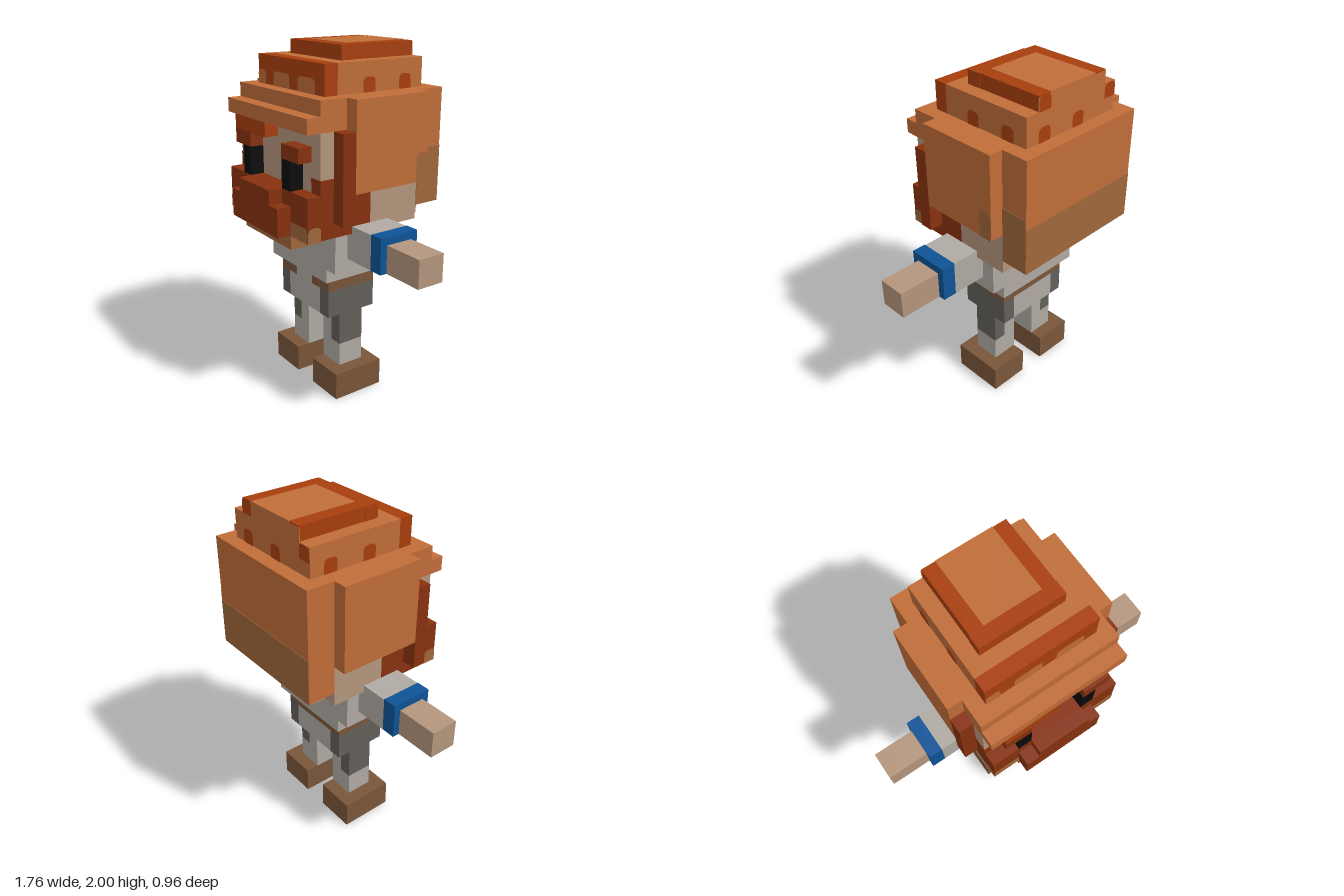
import * as THREE from 'three';

const material = (name, color) => {
  const m = new THREE.MeshStandardMaterial({ color });
  m.name = name;
  return m;
};

export function createModel() {
  const hair = material('hair', 0xc06d38);
  const rust = material('rust hair', 0xa83e0d);
  const beard = material('beard', 0x87310f);
  const tan = material('hair shade', 0xa0673b);
  const skin = material('skin', 0xb4967d);
  const cloth = material('cloth', 0xb0aaa3);
  const grey = material('trouser shade', 0x635f5a);
  const blue = material('blue cuff', 0x0e5396);
  const brown = material('brown leather', 0x7a563a);
  const black = material('eye black', 0x0b0b0b);

  const model = new THREE.Group();
  model.name = 'blockyBeardedFigure';

  // Block given by its lower and upper corners
  const box = (name, mat, x0, x1, y0, y1, z0, z1) => {
    const mesh = new THREE.Mesh(new THREE.BoxGeometry(x1 - x0, y1 - y0, z1 - z0), mat);
    mesh.position.set((x0 + x1) / 2, (y0 + y1) / 2, (z0 + z1) / 2);
    mesh.name = name;
    model.add(mesh);
  };
  // Two mirrored blocks
  const pair = (name, mat, x0, x1, ...rest) => {
    box(name + 'Left', mat, x0, x1, ...rest);
    box(name + 'Right', mat, -x1, -x0, ...rest);
  };
  // Flat painted patch with two rounded upper corners, facing +z until turned
  const patch = (name, mat, w, h, r, pos, rx = 0, ry = 0) => {
    const s = new THREE.Shape();
    s.moveTo(-w / 2, 0);
    s.lineTo(w / 2, 0);
    s.lineTo(w / 2, h - r);
    s.quadraticCurveTo(w / 2, h, w / 2 - r, h);
    s.lineTo(r - w / 2, h);
    s.quadraticCurveTo(-w / 2, h, -w / 2, h - r);
    s.closePath();
    const mesh = new THREE.Mesh(new THREE.ShapeGeometry(s, 5), mat);
    mesh.position.set(...pos);
    mesh.rotation.set(rx, ry, 0);
    mesh.name = name;
    model.add(mesh);
  };
  const e = 0.003; // paint offset

  // Boots and legs, with a dark outer half
  pair('boot', brown, 0.08, 0.32, 0, 0.16, -0.16, 0.16);
  pair('innerLeg', cloth, 0.08, 0.16, 0.16, 0.49, -0.08, 0.08);
  pair('lowerLeg', cloth, 0.16, 0.24, 0.16, 0.3, -0.08, 0.08);
  pair('outerLeg', grey, 0.16, 0.24, 0.3, 0.49, -0.08, 0.08);

  // Hips and belt
  box('hips', cloth, -0.16, 0.16, 0.49, 0.73, -0.16, 0.16);
  pair('hipSide', grey, 0.16, 0.24, 0.49, 0.65, -0.16, 0.16);
  pair('beltSide', brown, 0.16, 0.24, 0.65, 0.73, -0.16, 0.16);
  pair('beltFront', brown, 0.08, 0.16, 0.65, 0.73, 0.155, 0.16 + e);
  box('beltBack', brown, -0.16, 0.16, 0.65, 0.73, -0.16 - e, -0.155);

  // Shirt and arms
  box('waist', cloth, -0.28, 0.28, 0.73, 0.81, -0.2, 0.2);
  box('chest', cloth, -0.36, 0.36, 0.81, 1.08, -0.2, 0.2);
  pair('sleeve', cloth, 0.36, 0.56, 0.885, 1.08, -0.12, 0.12);
  pair('cuff', blue, 0.56, 0.64, 0.885, 1.083, -0.12, 0.12);
  pair('hand', skin, 0.64, 0.88, 0.885, 1.04, -0.08, 0.08);

  // Head
  box('face', skin, -0.4, 0.4, 1.28, 1.6, -0.3, 0.32);
  box('jaw', skin, -0.4, 0.4, 1.04, 1.28, -0.32, 0);
  box('nape', skin, -0.32, 0.32, 1.04, 1.12, -0.4, -0.32);
  pair('eye', black, 0.16, 0.24, 1.28, 1.44, 0.32, 0.4);
  pair('brow', beard, 0.16, 0.32, 1.44, 1.52, 0.32, 0.4);
  box('fringe', rust, -0.32, 0, 1.52, 1.6, 0.32, 0.4);

  // Beard
  box('beard', beard, -0.4, 0.4, 1.04, 1.28, 0, 0.4);
  pair('whisker', beard, 0.32, 0.4 + e, 1.28, 1.36, 0.24, 0.32 + e);
  pair('sidelock', beard, 0.4, 0.48, 1.12, 1.6, 0.16, 0.24);
  box('beardFront', beard, -0.24, 0.24, 1.04, 1.2, 0.4, 0.48);
  box('moustache', beard, -0.16, 0.16, 1.2, 1.28, 0.4, 0.48);
  box('chinBeard', tan, -0.24, 0.24, 0.96, 1.04, 0.2, 0.4);
  for (const s of [1, -1]) {
    patch('beardTip', tan, 0.16, 0.08, 0.02, [s * 0.32, 1.04, 0.4 + e]);
    patch('beardTipSide', tan, 0.08, 0.08, 0.03, [s * (0.4 + e), 1.04, 0.36], 0, s * Math.PI / 2);
  }

  // Hair mass and its shaded ends
  box('hairSides', hair, -0.48, 0.48, 1.28, 1.76, -0.32, 0.16);
  box('hairBack', hair, -0.4, 0.4, 1.12, 1.76, -0.48, -0.32);
  box('hairFront', hair, -0.4, 0.4, 1.6, 1.76, 0.16, 0.32);
  box('hairBrim', hair, -0.4, 0.4, 1.6, 1.68, 0.32, 0.4);
  box('hairBackShade', tan, -0.4, 0.4, 1.12 - e, 1.38, -0.48 - e, -0.475);
  box('hairEndShade', tan, 0.395, 0.4 + e, 1.12, 1.44, -0.48, -0.32);
  patch('hairSideShade', tan, 0.08, 0.16, 0.03, [0.48 + e, 1.28, -0.28], 0, Math.PI / 2);

  // Crown with a rust front and spots
  box('crown', hair, -0.32, 0.32, 1.76, 1.92, -0.4, 0.16);
  box('crownFront', rust, -0.32, 0.32, 1.76, 1.92, 0.16, 0.24);
  for (const [x, w] of [[-0.28, 0.08], [-0.08, 0.16], [0.16, 0.16]])
    patch('crownFrontSpot', hair, w, 0.08, 0.03, [x, 1.76, 0.24 + e]);
  for (const s of [1, -1])
    for (const z of [-0.04, -0.28])
      patch('crownSideSpot', rust, 0.08, 0.08, 0.03, [s * (0.32 + e), 1.76, z], 0, s * Math.PI / 2);
  for (const [x, y] of [[0.2, 1.76], [-0.04, 1.76], [-0.28, 1.84], [0.2, 1.92]])
    patch('crownBackSpot', rust, 0.08, 0.08, 0.03, [x, y, -0.4 - e], 0, Math.PI);

  // Top tuft: rust rim around a lighter centre
  box('tuftCentre', hair, -0.16, 0.16, 1.92, 2, -0.4, 0);
  pair('tuftSide', rust, 0.16, 0.237, 1.92, 1.998, -0.398, 0.077);
  box('tuftFront', rust, -0.24, 0.24, 1.92, 1.998, 0, 0.08);
  pair('tuftBack', hair, 0.16, 0.24, 1.92, 1.99, -0.4, -0.395);

  return model;
}
